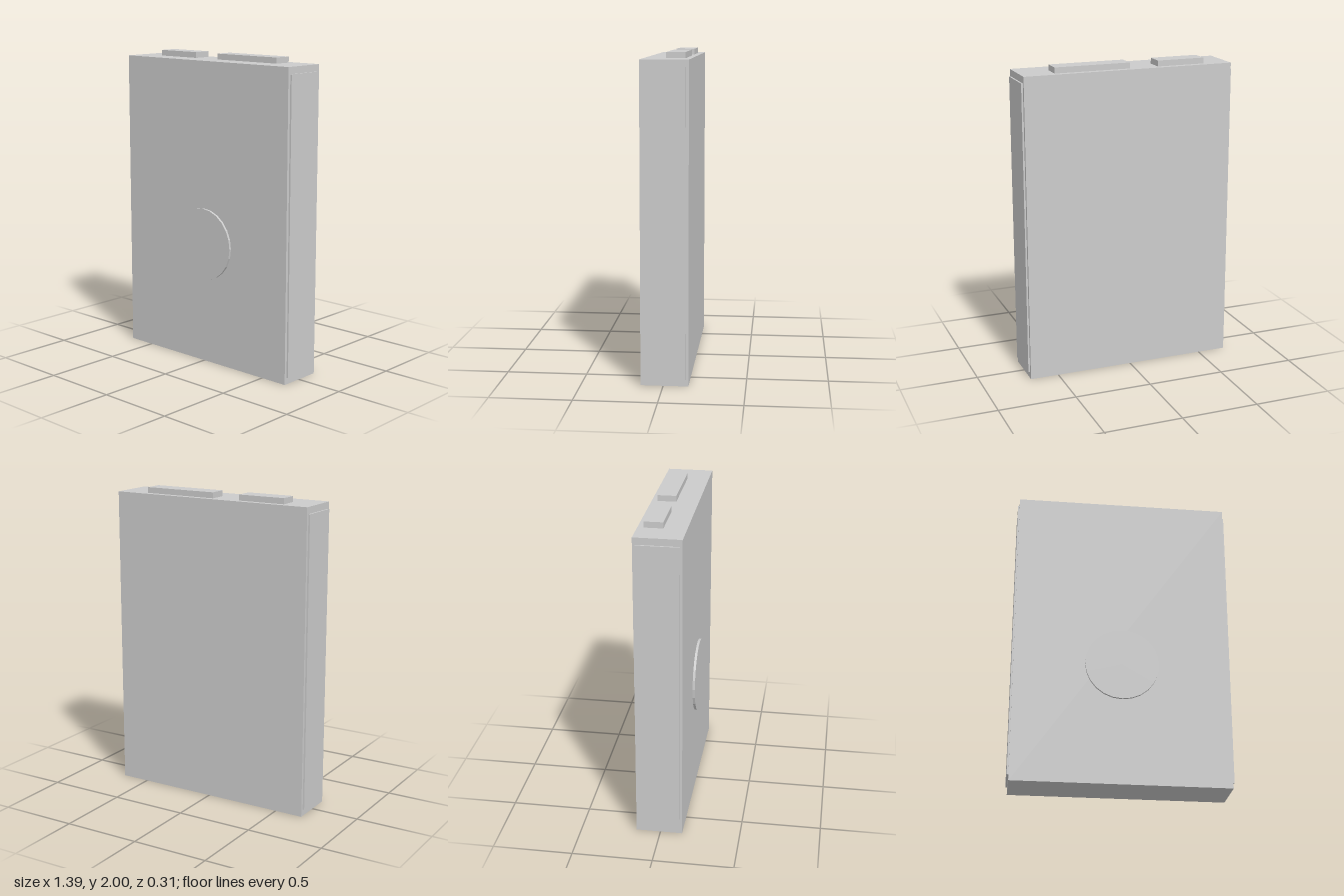
import * as THREE from 'three';

const material = new THREE.MeshStandardMaterial({ color: 0xcccccc, flatShading: true });

// Box given by its lower and upper limits on each axis
function block(name, [x0, x1], [y0, y1], [z0, z1]) {
  const mesh = new THREE.Mesh(new THREE.BoxGeometry(x1 - x0, y1 - y0, z1 - z0), material);
  mesh.position.set((x0 + x1) / 2, (y0 + y1) / 2, (z0 + z1) / 2);
  mesh.name = name;
  return mesh;
}

export function createModel() {
  const model = new THREE.Group();
  model.name = 'flatCase';
  const halfWidth = 0.685, top = 1.963, back = -0.153, front = 0.138;

  // Main slab
  model.add(block('body', [-halfWidth, halfWidth], [0, top], [back, front]));

  // Thin raised panels on both sides
  for (const side of [-1, 1]) {
    const panel = block(side > 0 ? 'leftSidePanel' : 'rightSidePanel',
      [-0.006, 0.006], [0.043, 1.92], [-0.135, 0.12]);
    panel.position.x = side * (halfWidth + 0.005);
    model.add(panel);
  }

  // Two bars on the top face
  model.add(block('shortTopBar', [-0.51, -0.198], [top - 0.01, 2], [-0.116, 0]));
  model.add(block('longTopBar', [-0.01, 0.478], [top - 0.01, 2], [-0.116, 0]));

  // Round raised disc on the front
  const depth = 0.025;
  const disc = new THREE.Mesh(new THREE.CylinderGeometry(0.234, 0.234, depth, 24), material);
  disc.rotation.x = Math.PI / 2;
  disc.position.set(0, 0.788, 0.153 - depth / 2);
  disc.name = 'frontDisc';
  model.add(disc);

  return model;
}
